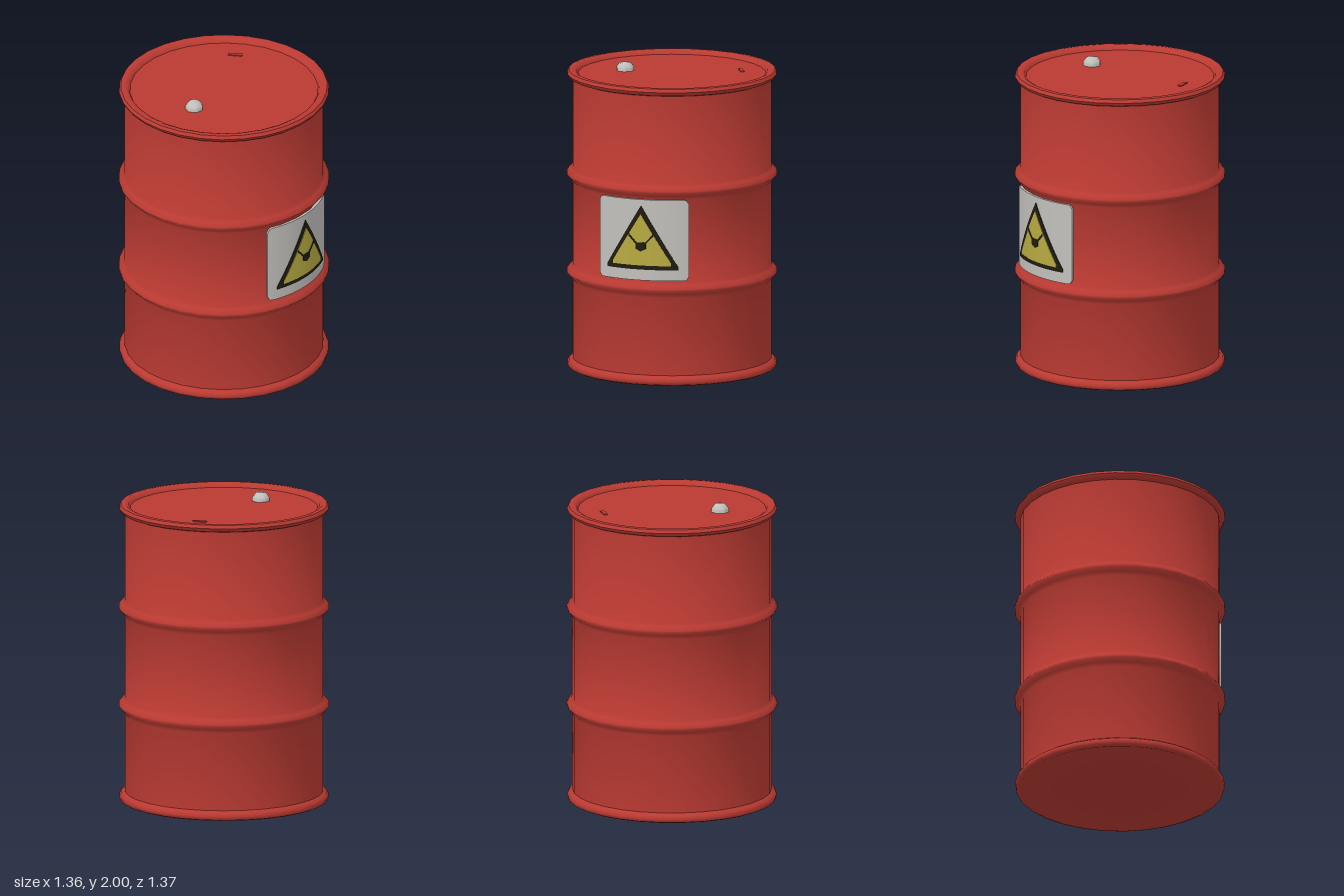
import * as THREE from 'three';
import { toCreasedNormals } from 'three/addons/utils/BufferGeometryUtils.js';

const mat = (name, color) => {
  const m = new THREE.MeshStandardMaterial({ color });
  m.name = name;
  return m;
};

// Lathe with sharp edges kept where the profile turns hard
function turned(points, sides, crease) {
  const profile = points.map(([r, y]) => new THREE.Vector2(r, y));
  return toCreasedNormals(new THREE.LatheGeometry(profile, sides), crease);
}

// Thin plate wrapped around the drum on its +x side.
// lo(z) and hi(z) give the plate's bottom and top edge at each column.
function wrappedPlate(z0, z1, columns, radius, depth, lo, hi) {
  const pos = [], index = [];
  for (let i = 0; i <= columns; i++) {
    const z = z0 + (z1 - z0) * i / columns;
    const a = Math.asin(z / radius);
    const section = [[radius - depth, lo(z)], [radius, lo(z)], [radius, hi(z)], [radius - depth, hi(z)]];
    for (const [r, y] of section) pos.push(r * Math.cos(a), y, r * Math.sin(a));
    if (i === columns) continue;
    for (let k = 0; k < 3; k++) {
      const p = i * 4 + k;
      index.push(p, p + 1, p + 5, p, p + 5, p + 4);
    }
  }
  const e = columns * 4;
  index.push(0, 2, 1, 0, 3, 2, e, e + 1, e + 2, e, e + 2, e + 3);
  const g = new THREE.BufferGeometry();
  g.setAttribute('position', new THREE.Float32BufferAttribute(pos, 3));
  g.setIndex(index);
  return toCreasedNormals(g, 0.6);
}

export function createModel() {
  const red = mat('red paint', 0xba3a32);
  const white = mat('off white', 0xc2c0bc);
  const yellow = mat('warning yellow', 0xb8aa42);
  const black = mat('black', 0x1f1c10);

  const group = new THREE.Group();
  group.name = 'drum';
  const add = (name, geometry, material, parent = group) => {
    const mesh = new THREE.Mesh(geometry, material);
    mesh.name = name;
    parent.add(mesh);
    return mesh;
  };

  // Drum: base, bottom rim, two rolling hoops, top rim and recessed lid
  const hoop = (y) => [
    [0.648, y - 0.055], [0.662, y - 0.03], [0.685, y - 0.006],
    [0.685, y + 0.008], [0.664, y + 0.032], [0.648, y + 0.05],
  ];
  add('drumBody', turned([
    [0, 0.012], [0.635, 0.012], [0.655, 0.005], [0.676, 0.014], [0.682, 0.035], [0.672, 0.055], [0.648, 0.07],
    ...hoop(0.64), ...hoop(1.29),
    [0.648, 1.922], [0.672, 1.93], [0.684, 1.952], [0.672, 1.973], [0.645, 1.976], [0.622, 1.965],
    [0.612, 1.945], [0, 1.945],
  ], 30, 0.9), red);

  // Small raised crease on the lid
  const crease = add('lidCrease', new THREE.BoxGeometry(0.09, 0.012, 0.025), red);
  crease.position.set(-0.215, 1.946, -0.405);
  crease.rotation.y = 0.5;

  // Filler cap
  const cap = add('fillerCap', turned([
    [0.06, 1.94], [0.058, 1.968], [0.038, 1.995], [0, 2],
  ], 7, 0.9), white);
  cap.position.z = 0.32;

  // Warning label on the left side
  const label = new THREE.Group();
  label.name = 'warningLabel';
  group.add(label);

  const half = 0.305, corner = 0.03;
  const inset = (z) => {
    const d = Math.max(0, Math.abs(z) - (half - corner));
    return corner - Math.sqrt(Math.max(0, corner * corner - d * d));
  };
  add('labelPlate', wrappedPlate(-half, half, 40, 0.662, 0.025,
    (z) => 0.7 + inset(z), (z) => 1.235 - inset(z)), white, label);

  const triangle = (name, w, base, apex, radius, material) =>
    add(name, wrappedPlate(-w, w, 24, radius, 0.005,
      () => base, (z) => apex - (apex - base - 0.02) * Math.abs(z) / w), material, label);
  triangle('triangleBorder', 0.243, 0.772, 1.195, 0.667, black);
  triangle('triangleField', 0.198, 0.8, 1.14, 0.671, yellow);

  // Dark symbol: a block with two raised arms
  add('symbolBlock', wrappedPlate(-0.036, 0.034, 4, 0.675, 0.004,
    (z) => 0.893 + Math.abs(z) * 0.5, () => 0.952), black, label);
  for (const s of [-1, 1]) {
    const rise = (z) => 0.932 + (Math.abs(z) - 0.025) * 1.05;
    add('symbolArm', wrappedPlate(s < 0 ? -0.082 : 0.025, s < 0 ? -0.025 : 0.082, 3, 0.675, 0.004,
      rise, (z) => rise(z) + 0.016), black, label);
  }
  return group;
}
